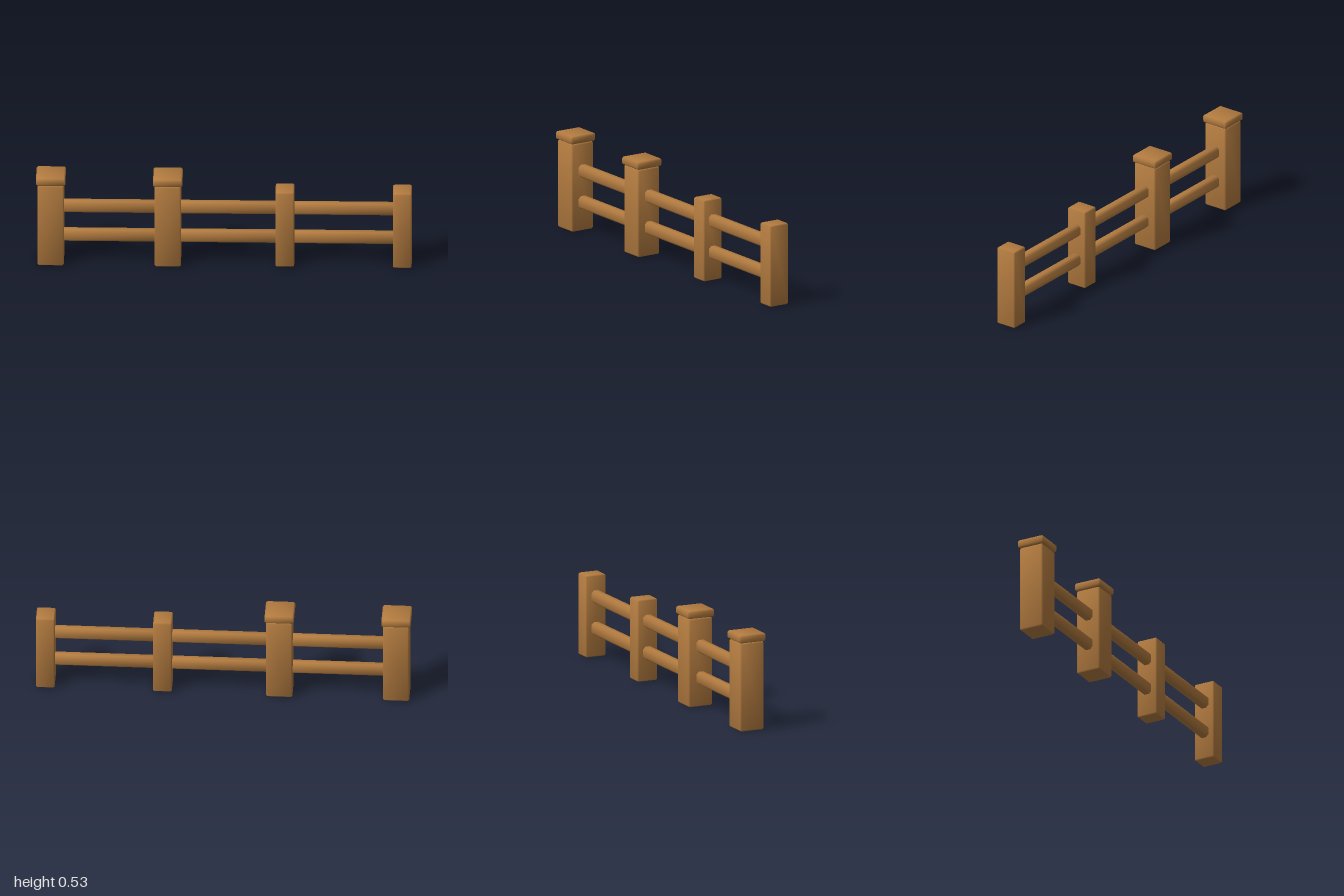
import * as THREE from 'three';
import { ConvexGeometry } from 'three/addons/geometries/ConvexGeometry.js';

// Chamfered block whose softened normals bend towards its corners
function block(w, h, d, bevel, soften) {
  const half = [w / 2, h / 2, d / 2];
  const points = [];
  for (let axis = 0; axis < 3; axis++)
    for (const sx of [-1, 1]) for (const sy of [-1, 1]) for (const sz of [-1, 1]) {
      const c = [sx, sy, sz].map((s, i) => s * (half[i] - (i === axis ? 0 : bevel)));
      points.push(new THREE.Vector3(...c));
    }
  const geometry = new ConvexGeometry(points);
  const pos = geometry.attributes.position;
  const normal = geometry.attributes.normal;
  const n = new THREE.Vector3();
  for (let i = 0; i < pos.count; i++) {
    const c = [pos.getX(i), pos.getY(i), pos.getZ(i)];
    n.set(...c.map((v, k) => Math.sign(v) * (Math.abs(v) > half[k] - bevel / 2 ? 1 : soften))).normalize();
    normal.setXYZ(i, n.x, n.y, n.z);
  }
  return geometry;
}

export function createModel() {
  const group = new THREE.Group();
  group.name = 'fence';
  const wood = new THREE.MeshStandardMaterial({ color: 0xb47c40 });
  wood.name = 'brown wood';

  const add = (name, geometry, x, y, z = 0) => {
    const mesh = new THREE.Mesh(geometry, wood);
    mesh.name = name;
    mesh.position.set(x, y, z);
    group.add(mesh);
  };

  // Two stout posts with caps
  const largePost = block(0.14, 0.482, 0.14, 0.008, 0.25);
  const cap = block(0.156, 0.043, 0.156, 0.008, 0.3);
  for (const x of [-0.922, -0.3]) {
    add('largePost', largePost, x, 0.242);
    add('postCap', cap, x, 0.506);
  }

  // Two slimmer posts
  const smallPost = block(0.1, 0.446, 0.118, 0.007, 0.25);
  for (const x of [0.322, 0.946]) add('smallPost', smallPost, x, 0.225, 0.001);

  // Two rows of rails between neighbouring posts
  const ends = [-0.922, -0.3, 0.322, 0.946];
  for (let i = 0; i < 3; i++) {
    const rail = block(ends[i + 1] - ends[i], 0.068, 0.054, 0.014, 0.3);
    for (const y of [0.158, 0.331]) add('rail', rail, (ends[i] + ends[i + 1]) / 2, y, 0.001);
  }
  return group;
}
